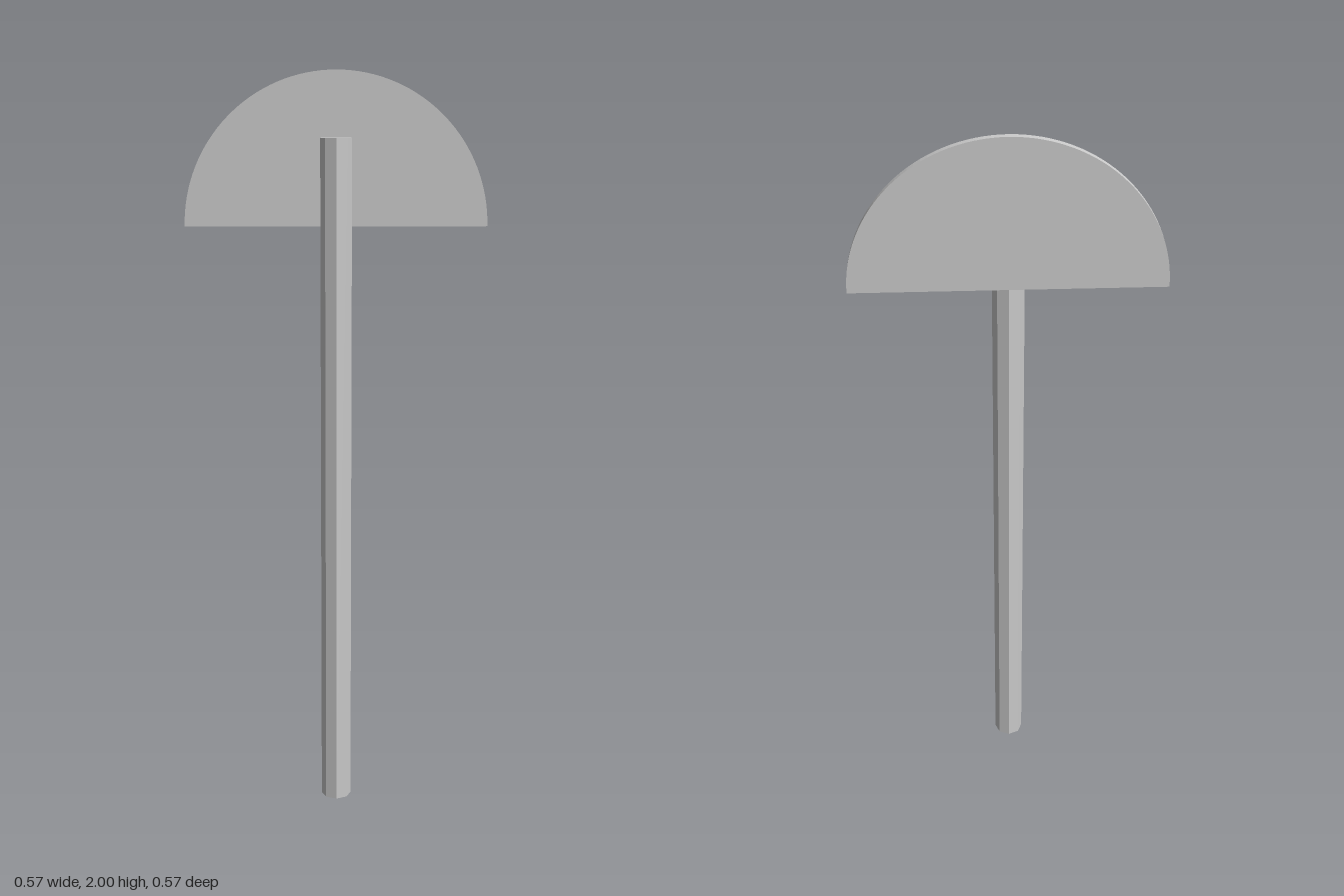
import * as THREE from 'three';

export function createModel() {
  const model = new THREE.Group();
  const material = new THREE.MeshStandardMaterial({ color: 0xcccccc, flatShading: true });

  // Octagonal post, standing just in front of the plate
  const postHeight = 1.83;
  const post = new THREE.Mesh(new THREE.CylinderGeometry(0.041, 0.041, postHeight, 8), material);
  post.name = 'post';
  post.position.set(-0.0275, postHeight / 2, 0.026);
  model.add(post);

  // Thin half-disc plate, turned 45 degrees about the vertical
  const radius = 0.397, thickness = 0.0155;
  const halfDisc = new THREE.Shape();
  halfDisc.absarc(0, 0, radius, 0, Math.PI, false);
  halfDisc.closePath();
  const plateGeometry = new THREE.ExtrudeGeometry(halfDisc, {
    depth: thickness, bevelEnabled: false, curveSegments: 32,
  });
  plateGeometry.translate(0, 0, -thickness / 2);
  const plate = new THREE.Mesh(plateGeometry, material);
  plate.name = 'signPlate';
  plate.position.y = 2 - radius;
  plate.rotation.y = -Math.PI / 4;
  model.add(plate);

  return model;
}
